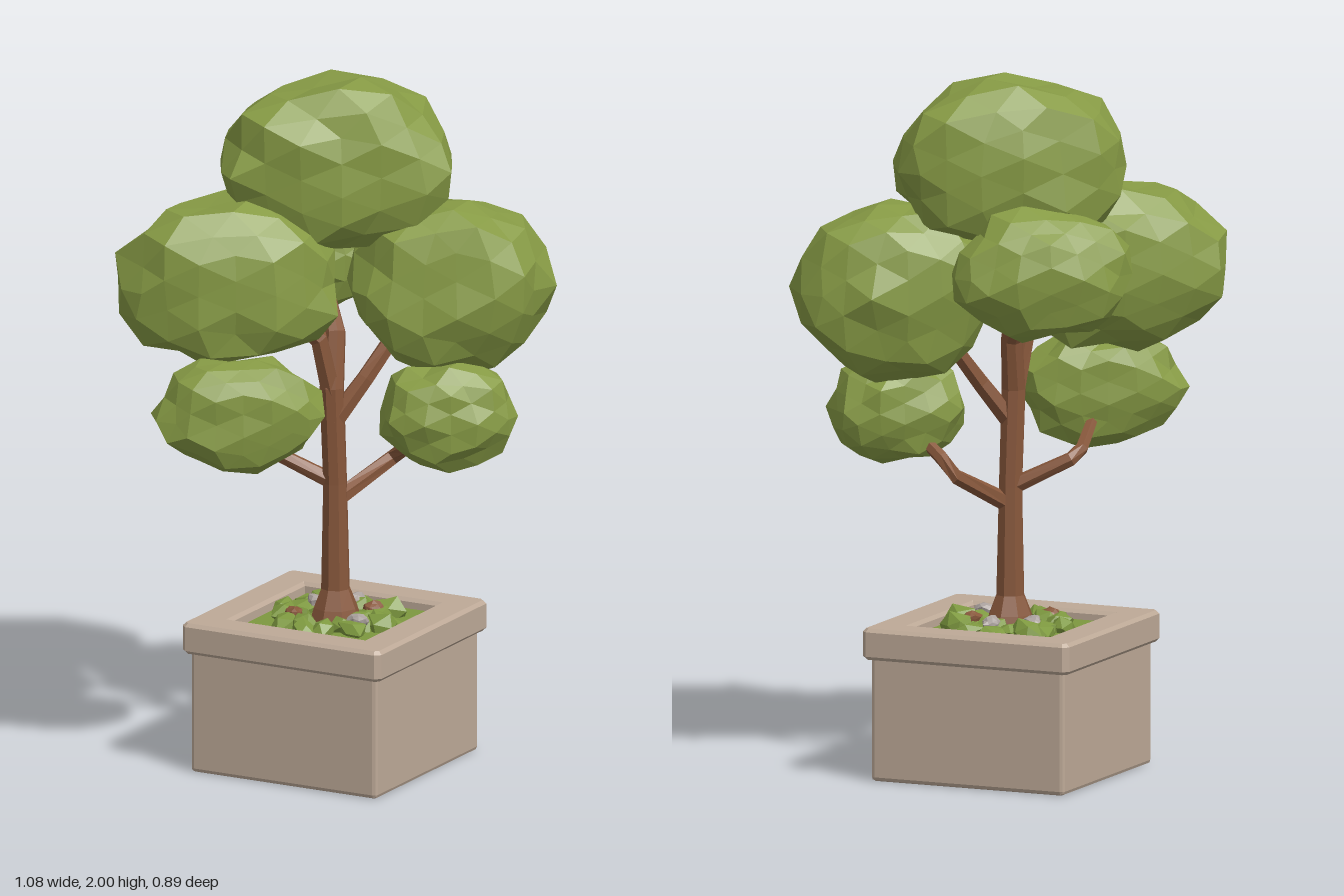
import * as THREE from 'three';
import { mergeVertices } from 'three/addons/utils/BufferGeometryUtils.js';
import { RoundedBoxGeometry } from 'three/addons/geometries/RoundedBoxGeometry.js';

const V = (x, y, z) => new THREE.Vector3(x, y, z);

function seeded(seed) {
  let s = seed;
  return () => {
    s = (s * 16807) % 2147483647;
    return s / 2147483647;
  };
}

// Split the faces so that every facet is flat
function faceted(geometry) {
  const g = geometry.index ? geometry.toNonIndexed() : geometry;
  g.computeVertexNormals();
  return g;
}

// Uneven faceted ball of radius about one; a blunt power below one squares off its z sides
function lump(seed, detail, rough, blunt = 1) {
  const rand = seeded(seed * 7919 + 13);
  let g = new THREE.IcosahedronGeometry(1, detail);
  g.deleteAttribute('uv');
  g.deleteAttribute('normal');
  g = mergeVertices(g, 1e-3);
  const p = g.attributes.position;
  const v = V(0, 0, 0);
  for (let i = 0; i < p.count; i++) {
    v.fromBufferAttribute(p, i);
    v.z = Math.sign(v.z) * Math.abs(v.z) ** blunt;
    v.multiplyScalar(1.02 + rough * (0.25 - rand()));
    p.setXYZ(i, v.x, v.y, v.z);
  }
  return faceted(g);
}

// Tapered limb with sharp bends through a few points
function limb(points, radii, sides = 7) {
  const pos = [], index = [];
  const n = points.length;
  points.forEach((pt, i) => {
    const dir = points[Math.min(i + 1, n - 1)].clone().sub(points[Math.max(i - 1, 0)]).normalize();
    const q = new THREE.Quaternion().setFromUnitVectors(V(0, 1, 0), dir);
    for (let j = 0; j < sides; j++) {
      const a = (j / sides) * Math.PI * 2;
      const v = V(Math.cos(a), 0, Math.sin(a)).multiplyScalar(radii[i]).applyQuaternion(q).add(pt);
      pos.push(v.x, v.y, v.z);
    }
  });
  for (let i = 0; i < n - 1; i++) {
    for (let j = 0; j < sides; j++) {
      const k = (j + 1) % sides;
      const a = i * sides + j, b = i * sides + k, c = a + sides, d = b + sides;
      index.push(a, c, b, b, c, d);
    }
  }
  // end cap
  for (let j = 1; j < sides - 1; j++) {
    const o = (n - 1) * sides;
    index.push(o, o + j + 1, o + j);
  }
  const g = new THREE.BufferGeometry();
  g.setAttribute('position', new THREE.Float32BufferAttribute(pos, 3));
  g.setIndex(index);
  return faceted(g);
}

export function createModel() {
  const mat = (name, color) => {
    const m = new THREE.MeshStandardMaterial({ color });
    m.name = name;
    return m;
  };
  const leaf = mat('leaf green', 0x879b45);
  const moss = mat('ground cover green', 0x7d983f);
  const bark = mat('bark brown', 0x87573b);
  const clay = mat('planter taupe', 0xbda997);
  const earth = mat('earth brown', 0x463a2c);
  const stone = mat('stone grey', 0xaba29e);

  const model = new THREE.Group();
  model.name = 'pottedTree';
  const add = (parent, name, geometry, material) => {
    const m = new THREE.Mesh(geometry, material);
    m.name = name;
    parent.add(m);
    return m;
  };

  // Planter: body, open rim and earth
  const planter = new THREE.Group();
  planter.name = 'planter';
  planter.position.set(-0.009, 0, -0.014);
  model.add(planter);
  add(planter, 'planterBody', faceted(new RoundedBoxGeometry(0.6, 0.37, 0.6, 1, 0.012)), clay).position.y = 0.185;

  // Square outline with cut corners
  const square = (path, h, c) => path.moveTo(c - h, -h).lineTo(h - c, -h).lineTo(h, c - h).lineTo(h, h - c)
    .lineTo(h - c, h).lineTo(c - h, h).lineTo(-h, h - c).lineTo(-h, c - h).closePath();
  const rimShape = square(new THREE.Shape(), 0.311, 0.01);
  rimShape.holes.push(square(new THREE.Path(), 0.225, 0.002));
  const rim = new THREE.ExtrudeGeometry(rimShape, {
    depth: 0.07, bevelEnabled: true, bevelThickness: 0.01, bevelSize: 0.01, bevelSegments: 1,
  });
  rim.rotateX(-Math.PI / 2);
  add(planter, 'planterRim', rim, clay).position.y = 0.36;
  add(planter, 'earth', new THREE.BoxGeometry(0.44, 0.04, 0.44), earth).position.y = 0.375;
  add(planter, 'groundCover', new THREE.BoxGeometry(0.4, 0.03, 0.4), moss).position.y = 0.4;

  // Low leafy tufts around the trunk
  const rand = seeded(421);
  for (let i = 0; i < 22; i++) {
    const a = i * 2.4, r = 0.075 + 0.095 * Math.sqrt(i / 22);
    const s = 0.05 + 0.02 * rand();
    const t = add(planter, 'tuft', lump(i + 3, 0, 0.45), moss);
    t.position.set(Math.cos(a) * r, 0.425, Math.sin(a) * r);
    t.scale.set(s, 0.02 + 0.025 * rand(), s * 0.8);
    t.rotation.set(0.4 * (rand() - 0.5), rand() * 6, 0.4 * (rand() - 0.5));
  }

  // Stones and fallen bark among the tufts
  const litter = [
    ['stone', stone, 0.115, 0.075], ['stone', stone, 0.01, -0.115], ['stone', stone, -0.09, -0.05],
    ['barkChip', bark, 0.09, -0.065], ['barkChip', bark, -0.08, 0.09],
  ];
  litter.forEach(([name, material, x, z], i) => {
    const t = add(planter, name, lump(i + 40, 1, 0.3), material);
    t.position.set(x, 0.445, z);
    t.scale.set(0.034, 0.022, 0.026);
    t.rotation.y = i * 1.3;
  });

  // Trunk and branches
  const wood = new THREE.Group();
  wood.name = 'wood';
  model.add(wood);
  add(wood, 'trunk', limb(
    [V(-0.005, 0.4, -0.012), V(-0.005, 0.455, -0.012), V(-0.005, 0.51, -0.012), V(-0.005, 0.82, -0.01),
      V(-0.01, 1.1, 0), V(-0.02, 1.25, -0.035), V(-0.12, 1.42, -0.13)],
    [0.08, 0.064, 0.042, 0.035, 0.036, 0.032, 0.02], 8), bark);
  const branches = {
    lowerRightBranch: [[V(0, 0.77, -0.01), V(0.09, 0.865, -0.17), V(0.15, 0.91, -0.14), V(0.28, 1.0, -0.1)],
      [0.027, 0.022, 0.02, 0.016]],
    lowerLeftBranch: [[V(-0.01, 0.82, -0.01), V(-0.165, 0.9, 0.05), V(-0.18, 0.925, 0.09), V(-0.16, 1.04, 0.26)],
      [0.025, 0.021, 0.02, 0.015]],
    upperRightBranch: [[V(-0.005, 1.0, 0), V(0.06, 1.12, -0.07), V(0.1, 1.21, -0.13), V(0.24, 1.4, -0.17)],
      [0.03, 0.026, 0.024, 0.016]],
    upperLeftBranch: [[V(-0.01, 1.08, 0), V(-0.03, 1.25, 0.04), V(-0.16, 1.42, 0.16)],
      [0.032, 0.028, 0.018]],
  };
  for (const [name, [points, radii]] of Object.entries(branches)) {
    add(wood, name, limb(points, radii, 6), bark);
  }

  // Foliage: clumps spread along one diagonal; centre then half sizes
  const crown = new THREE.Group();
  crown.name = 'crown';
  crown.rotation.y = 0.611;
  model.add(crown);
  const clumps = [
    ['topClump', [0.005, 1.747, -0.045], [0.355, 0.25, 0.2]],
    ['upperLeftClump', [-0.303, 1.435, 0.035], [0.328, 0.24, 0.195]],
    ['upperRightClump', [0.327, 1.4, -0.005], [0.288, 0.262, 0.195]],
    ['lowerLeftClump', [-0.287, 1.07, 0.145], [0.238, 0.17, 0.125]],
    ['lowerRightClump', [0.308, 1.04, 0.09], [0.203, 0.157, 0.128]],
    ['backClump', [-0.05, 1.465, -0.22], [0.262, 0.193, 0.15]],
  ];
  clumps.forEach(([name, centre, half], i) => {
    const c = add(crown, name, lump(i + 1, 2, 0.17, 0.68), leaf);
    c.position.set(...centre);
    c.scale.set(...half);
  });

  return model;
}
